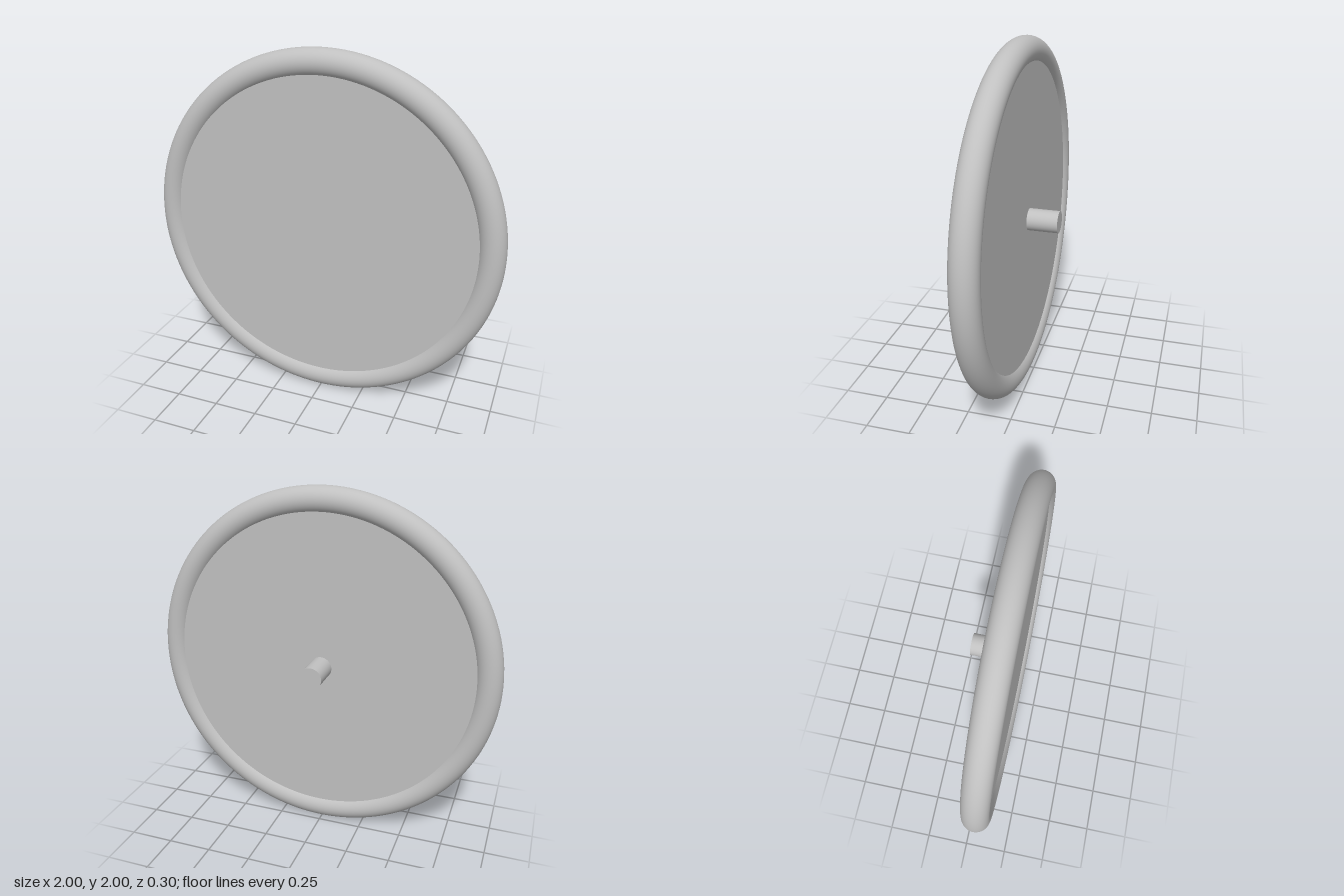
import * as THREE from 'three';

export function createModel() {
  const model = new THREE.Group();
  const grey = new THREE.MeshStandardMaterial({ color: 0xc0c0c0 });
  grey.name = 'light grey';

  const tube = 0.074;
  const ringRadius = 1 - tube;
  const discHalf = 0.048;
  const stemEnd = -0.148;

  const wheel = new THREE.Group();
  wheel.name = 'wheel';
  wheel.position.y = 1;
  model.add(wheel);

  // Rounded rim
  const rim = new THREE.Mesh(new THREE.TorusGeometry(ringRadius, tube, 48, 160), grey);
  rim.name = 'rim';
  rim.position.z = tube;
  wheel.add(rim);

  // Round plates and rods along z
  const addRod = (name, radius, z0, z1, sides) => {
    const geometry = new THREE.CylinderGeometry(radius, radius, z1 - z0, sides);
    geometry.rotateX(Math.PI / 2);
    const mesh = new THREE.Mesh(geometry, grey);
    mesh.name = name;
    mesh.position.z = (z0 + z1) / 2;
    wheel.add(mesh);
  };

  // Flat disc filling the rim, and the stem on its back
  addRod('disc', ringRadius, tube - discHalf, tube + discHalf, 160);
  addRod('stem', 0.0625, stemEnd, tube - discHalf + 0.01, 64);

  return model;
}
